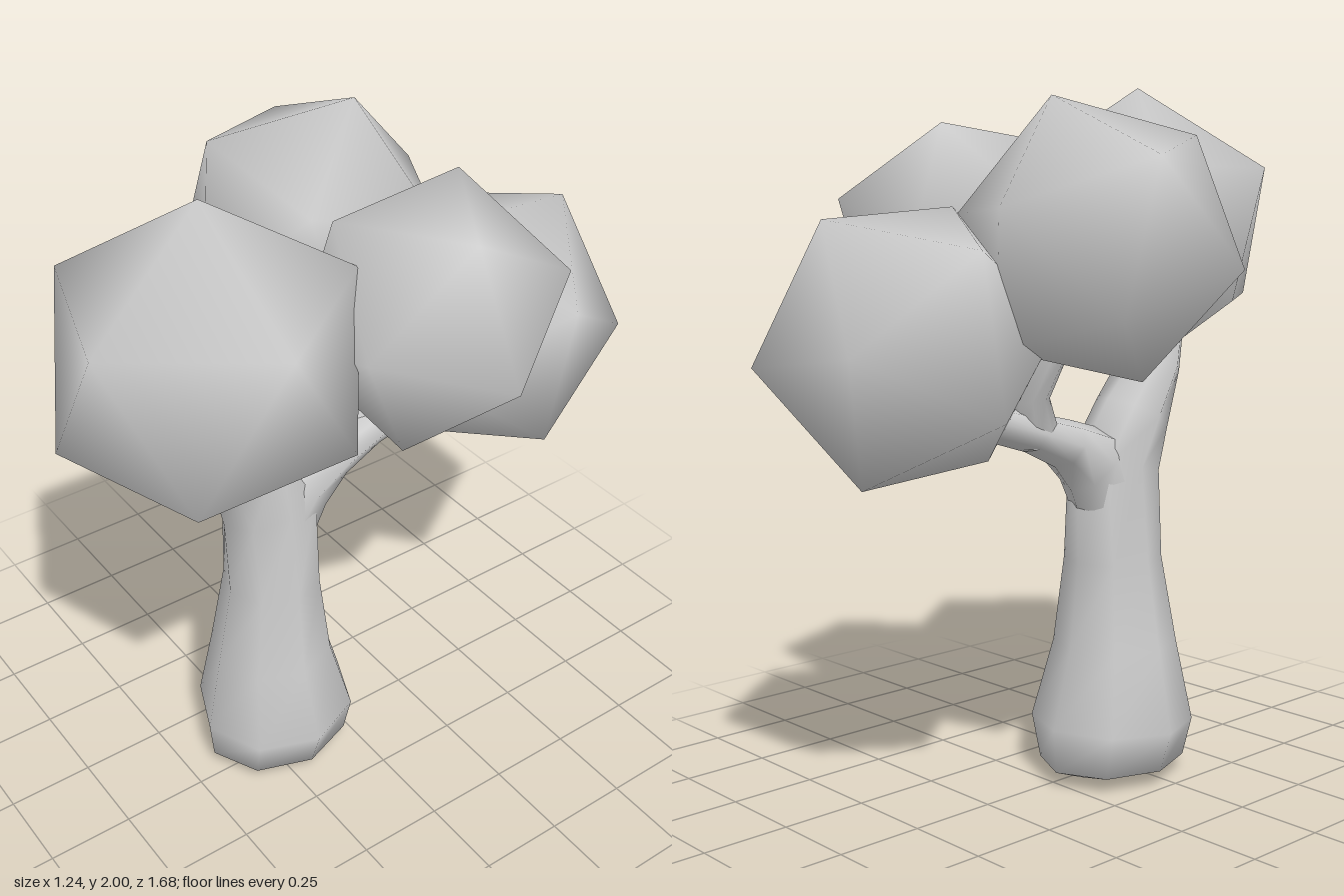
import * as THREE from 'three';

const material = new THREE.MeshStandardMaterial({ color: 0xcccccc });
const SIDES = 8;

// Smooth tube through sections [x, y, z, half width in x, half depth across the path]
function limb(name, sections) {
  const pos = [], index = [];
  const centre = (i) => new THREE.Vector3(...sections[i].slice(0, 3));
  const last = sections.length - 1;
  const u = new THREE.Vector3(1, 0, 0);
  sections.forEach(([, , , rx, rz], i) => {
    const tangent = centre(Math.min(i + 1, last)).sub(centre(Math.max(i - 1, 0)));
    const v = tangent.cross(u).normalize();
    for (let k = 0; k < SIDES; k++) {
      const a = (k / SIDES) * Math.PI * 2;
      const p = centre(i).addScaledVector(u, Math.cos(a) * rx).addScaledVector(v, Math.sin(a) * rz);
      pos.push(p.x, p.y, p.z);
      if (i === last) continue;
      const a0 = i * SIDES + k, b0 = i * SIDES + ((k + 1) % SIDES);
      index.push(a0, b0, b0 + SIDES, a0, b0 + SIDES, a0 + SIDES);
    }
  });
  const geo = new THREE.BufferGeometry();
  geo.setAttribute('position', new THREE.Float32BufferAttribute(pos, 3));
  geo.setIndex(index);
  geo.computeVertexNormals();
  const mesh = new THREE.Mesh(geo, material);
  mesh.name = name;
  return mesh;
}

// Smooth-shaded icosahedron turned so one edge runs from direction a to direction b
function foliage(name, centre, radius, a, b) {
  const v1 = new THREE.Vector3(...a).normalize();
  const v2 = new THREE.Vector3(...b).normalize();
  const y = v1.clone().add(v2).normalize();
  const x = v2.clone().sub(v1).normalize();
  const z = x.clone().cross(y);
  const geo = new THREE.IcosahedronGeometry(radius, 0);
  geo.applyMatrix4(new THREE.Matrix4().makeBasis(x, y, z));
  geo.setAttribute('normal', geo.attributes.position.clone());
  geo.normalizeNormals();
  const mesh = new THREE.Mesh(geo, material);
  mesh.position.set(...centre);
  mesh.name = name;
  return mesh;
}

export function createModel() {
  const tree = new THREE.Group();
  tree.name = 'tree';

  // Trunk, bending forward into the front branch
  tree.add(limb('trunk', [
    [-0.04, 0.005, 0.2, 0, 0],
    [-0.04, 0.01, 0.2, 0.07, 0.12],
    [-0.04, 0.05, 0.2, 0.195, 0.225],
    [-0.04, 0.17, 0.2, 0.235, 0.235],
    [-0.04, 0.4, 0.21, 0.178, 0.18],
    [-0.04, 0.65, 0.2, 0.142, 0.14],
    [-0.042, 0.92, 0.2, 0.113, 0.15],
    [-0.04, 1.06, 0.275, 0.11, 0.11],
    [-0.035, 1.2, 0.355, 0.11, 0.065],
    [0.0, 1.4, 0.43, 0.1, 0.06],
  ]));

  // Back branch and the twig rising from it
  tree.add(limb('backBranch', [
    [-0.04, 0.82, 0.19, 0.1, 0.13],
    [-0.04, 0.94, 0.11, 0.1, 0.11],
    [-0.04, 1.0, 0.0, 0.09, 0.07],
    [-0.04, 1.045, -0.13, 0.08, 0.055],
    [-0.02, 1.1, -0.32, 0.07, 0.05],
  ]));
  tree.add(limb('twig', [
    [-0.05, 1.02, -0.1, 0.06, 0.06],
    [-0.08, 1.14, -0.155, 0.055, 0.045],
    [-0.15, 1.28, -0.14, 0.055, 0.035],
    [-0.2, 1.4, -0.13, 0.05, 0.03],
  ]));

  // Foliage balls
  tree.add(foliage('frontFoliage', [0.14, 1.575, 0.48], 0.425, [0, 1, 0], [1, 0.5, 0]));
  tree.add(foliage('rightFoliage', [-0.305, 1.565, -0.13], 0.384, [0.065, 0.365, -0.1], [-0.04, 0.08, -0.36]));
  tree.add(foliage('leftFoliage', [0.26, 1.57, -0.105], 0.361, [0.35, -0.065, 0.008], [0.185, 0.105, -0.295]));
  tree.add(foliage('backFoliage', [0.01, 1.3, -0.5], 0.4, [-0.21, 0, -0.34], [0.21, -0.05, -0.34]));

  return tree;
}
